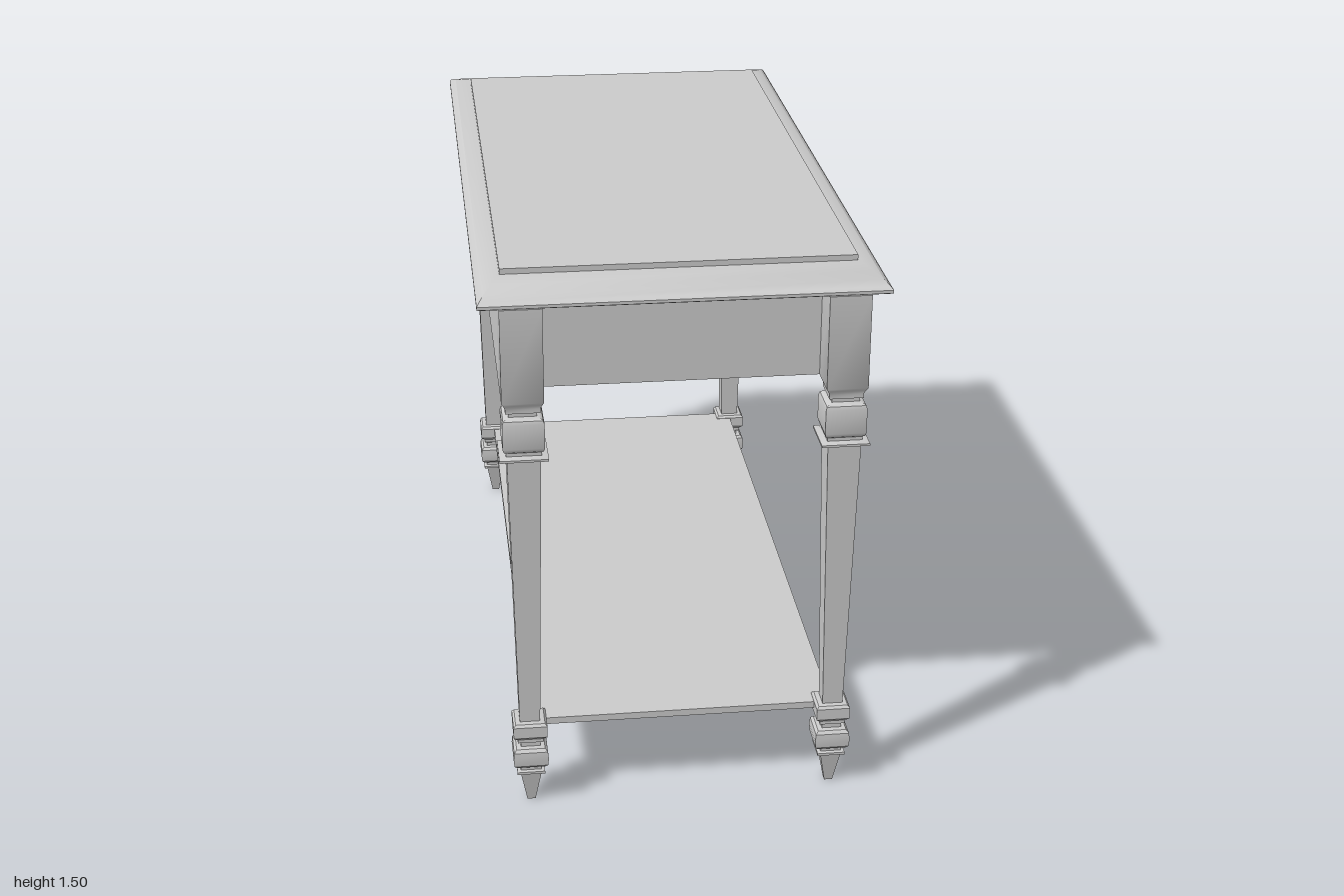
import * as THREE from 'three';
import { toCreasedNormals } from 'three/addons/utils/BufferGeometryUtils.js';

const material = new THREE.MeshStandardMaterial({ color: 0xcccccc });

function part(parent, name, geometry, x = 0, y = 0, z = 0) {
  const mesh = new THREE.Mesh(geometry, material);
  mesh.name = name;
  mesh.position.set(x, y, z);
  parent.add(mesh);
  return mesh;
}

// Box given by its minimum and maximum corners
function block(parent, name, [x0, y0, z0], [x1, y1, z1]) {
  return part(parent, name, new THREE.BoxGeometry(x1 - x0, y1 - y0, z1 - z0),
    (x0 + x1) / 2, (y0 + y1) / 2, (z0 + z1) / 2);
}

// Stacks rectangles [halfX, halfZ, y] from bottom to top into a capped solid
function loft(sections) {
  const pos = [];
  const index = [];
  for (const [x, z, y] of sections) pos.push(x, y, z, x, y, -z, -x, y, -z, -x, y, z);
  for (let i = 0; i < sections.length - 1; i++) {
    for (let k = 0; k < 4; k++) {
      const a = i * 4 + k, b = i * 4 + (k + 1) % 4;
      index.push(a, b, b + 4, a, b + 4, a + 4);
    }
  }
  const t = (sections.length - 1) * 4;
  index.push(0, 2, 1, 0, 3, 2, t, t + 1, t + 2, t, t + 2, t + 3);
  const g = new THREE.BufferGeometry();
  g.setAttribute('position', new THREE.Float32BufferAttribute(pos, 3));
  g.setIndex(index);
  return toCreasedNormals(g, 0.6);
}

export function createModel() {
  const table = new THREE.Group();
  table.name = 'sideTable';
  const legX = 0.407, legZ = 0.937, postHalf = 0.053;

  // Table top: moulded edge and raised centre panel
  part(table, 'topMoulding', loft([
    [0.505, 0.98, 1.438], [0.513, 0.988, 1.442], [0.513, 0.988, 1.45], [0.507, 0.977, 1.457],
    [0.495, 0.95, 1.466], [0.478, 0.91, 1.474], [0.46, 0.87, 1.479], [0.44, 0.84, 1.481],
  ]));
  block(table, 'topPanel', [-0.45, 1.478, -0.85], [0.45, 1.495, 0.85]);

  // Case with a framed drawer on the +x side
  block(table, 'case', [-0.46, 1.19, -0.89], [0.41, 1.44, 0.89]);
  const frame = new THREE.Shape([[-0.89, 1.19], [0.89, 1.19], [0.89, 1.44], [-0.89, 1.44]]
    .map(p => new THREE.Vector2(...p)));
  frame.holes.push(new THREE.Path([[-0.862, 1.22], [-0.862, 1.41], [0.862, 1.41], [0.862, 1.22]]
    .map(p => new THREE.Vector2(...p))));
  const frameGeo = new THREE.ExtrudeGeometry(frame, { depth: 0.05, bevelEnabled: false });
  part(table, 'drawerFrame', frameGeo.rotateY(Math.PI / 2), 0.41);
  block(table, 'drawerFront', [0.4, 1.221, -0.861], [0.413, 1.409, 0.861]);

  // Drawer knobs
  const knobProfile = [[0, 0], [0.012, 0], [0.007, 0.01], [0.007, 0.034], [0.013, 0.04], [0.018, 0.048],
    [0.019, 0.054], [0.016, 0.062], [0.009, 0.068], [0, 0.07]].map(p => new THREE.Vector2(...p));
  const knobGeo = new THREE.LatheGeometry(knobProfile, 20).rotateZ(-Math.PI / 2);
  for (const z of [-0.43, 0.43]) part(table, 'drawerKnob', knobGeo, 0.408, 1.318, z);

  // Square turned leg: half width and height from the foot upward
  const legProfile = [
    [0.011, 0], [0.028, 0.094], [0.037, 0.095], [0.037, 0.102], [0.028, 0.104], [0.028, 0.116],
    [0.038, 0.118], [0.045, 0.126], [0.047, 0.147], [0.045, 0.167], [0.038, 0.175],
    [0.026, 0.177], [0.026, 0.188], [0.034, 0.193], [0.034, 0.203], [0.039, 0.208],
    [0.045, 0.214], [0.045, 0.246], [0.039, 0.253], [0.027, 0.255], [0.043, 1.03],
    [0.062, 1.034], [0.062, 1.04], [0.045, 1.044], [0.045, 1.053], [0.05, 1.057], [0.053, 1.066],
    [0.053, 1.132], [0.05, 1.141], [0.044, 1.145], [0.036, 1.148], [0.036, 1.157],
    [0.044, 1.16], [0.044, 1.172], [0.048, 1.182], [postHalf, 1.19], [postHalf, 1.44],
  ];
  const legGeo = loft(legProfile.map(([r, y]) => [r, r, y]));
  for (const sx of [-1, 1]) {
    for (const sz of [-1, 1]) part(table, 'leg', legGeo, sx * legX, 0, sz * legZ);
  }

  // Lower shelf
  block(table, 'shelf', [-legX, 0.226, -legZ], [legX, 0.245, legZ]);

  return table;
}
